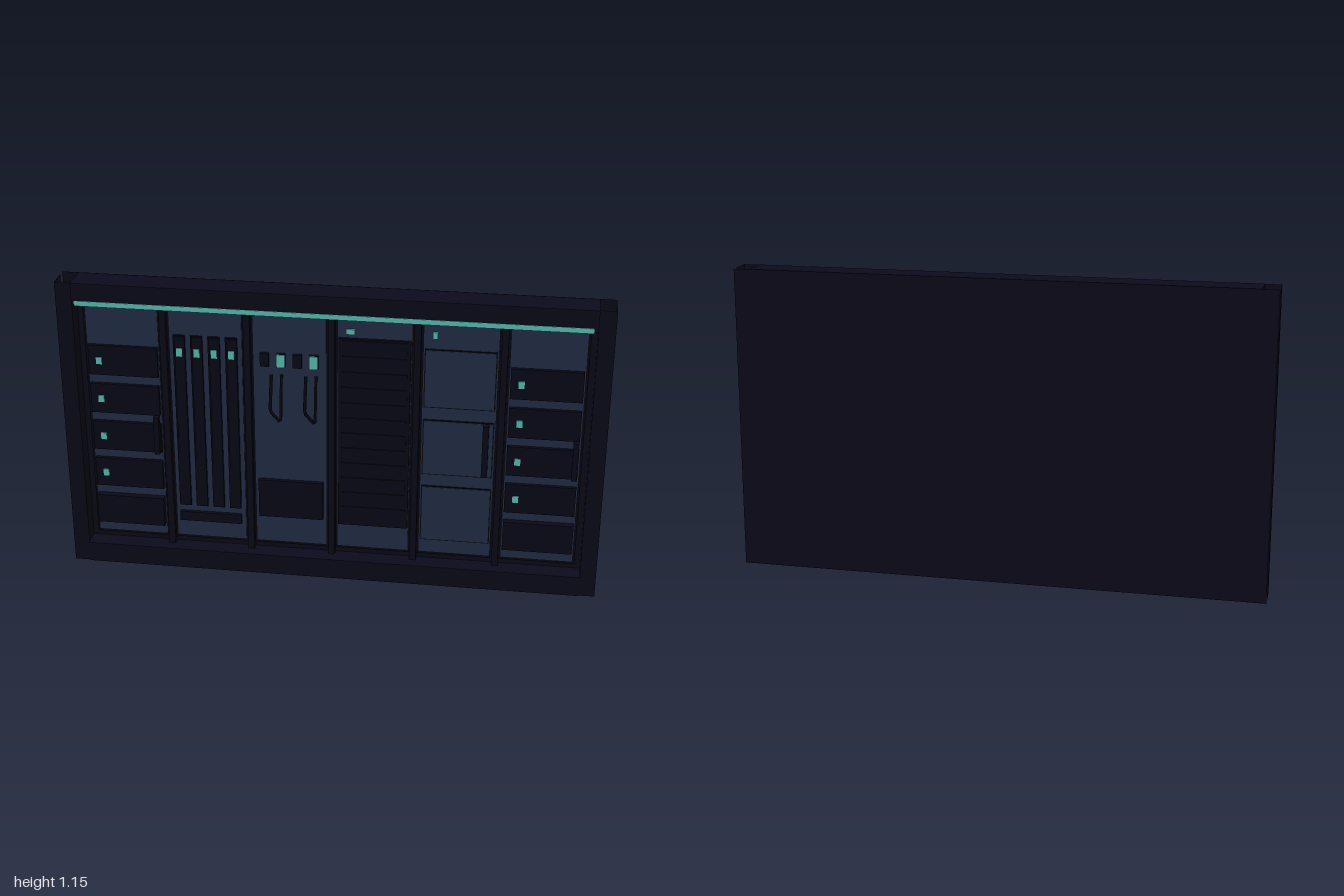
import * as THREE from 'three';

const mat = (name, color, extra = {}) => {
  const m = new THREE.MeshStandardMaterial({ color, ...extra });
  m.name = name;
  return m;
};

export function createModel() {
  const root = new THREE.Group();
  root.name = 'storageWall';
  const frame = mat('darkFrame', 0x0c0b1c, { side: THREE.DoubleSide });
  const dark = mat('darkFitting', 0x0a0919);
  const black = mat('blackTrim', 0x060610);
  const navy = mat('navyPanel', 0x25324b);
  const teal = mat('tealLight', 0x5fcfc3);

  // Box given by its x, y and z ranges
  const box = (parent, name, m, x0, x1, y0, y1, z0, z1) => {
    const mesh = new THREE.Mesh(new THREE.BoxGeometry(x1 - x0, y1 - y0, z1 - z0), m);
    mesh.position.set((x0 + x1) / 2, (y0 + y1) / 2, (z0 + z1) / 2);
    mesh.name = name;
    parent.add(mesh);
    return mesh;
  };
  const sheet = (name, w, h, x, y, z, turn = 0) => {
    const mesh = new THREE.Mesh(new THREE.PlaneGeometry(w, h), frame);
    mesh.position.set(x, y, z);
    mesh.rotation.y = turn;
    mesh.name = name;
    root.add(mesh);
  };
  const light = (parent, x, y, w, h, z) =>
    box(parent, 'statusLight', teal, x - w / 2, x + w / 2, y - h / 2, y + h / 2, z - 0.006, z);

  // Outer frame: back sheet, rails and open-ended side posts
  sheet('backPanel', 2, 1.15, 0, 0.575, -0.052);
  box(root, 'topRail', frame, -0.94, 0.94, 1.07, 1.15, -0.05, 0.06);
  box(root, 'bottomRail', frame, -0.94, 0.94, 0, 0.08, -0.05, 0.06);
  for (const s of [-1, 1]) {
    sheet('postOuter', 0.08, 1.15, s, 0.575, 0.015, Math.PI / 2);
    sheet('postInner', 0.08, 1.15, s * 0.94, 0.575, 0.015, Math.PI / 2);
    sheet('postFront', 0.06, 1.15, s * 0.97, 0.575, 0.055);
  }
  box(root, 'backing', frame, -0.94, 0.94, 0.08, 1.07, -0.025, -0.01);
  box(root, 'lightStrip', teal, -0.93, 0.925, 1.064, 1.083, 0.053, 0.062);

  // Six bays with black rims, and the dividers between them
  const bays = [];
  for (let i = 0; i < 6; i++) {
    const g = new THREE.Group();
    g.name = 'bay' + (i + 1);
    g.position.x = -0.775 + i * 0.31;
    root.add(g);
    bays.push(g);
    box(g, 'bayRim', black, -0.144, 0.144, 0.1, 1.058, -0.01, -0.004);
    box(g, 'bayPanel', navy, -0.134, 0.134, 0.112, 1.048, -0.008, 0);
    if (i < 5) box(g, 'divider', frame, 0.143, 0.167, 0.08, 1.07, -0.01, 0.016);
  }

  // Bays 1 and 6: stacked drawers with lights and a pull handle
  for (const g of [bays[0], bays[5]]) {
    for (let k = 0; k < 5; k++) {
      const top = 0.893 - k * 0.1545;
      box(g, 'drawer', dark, -0.13, 0.13, top - 0.118, top, 0, k === 4 ? 0.026 : 0.014);
      if (k < 4) light(g, -0.09, top - 0.06, 0.022, 0.027, 0.018);
    }
    box(g, 'drawerHandle', dark, 0.108, 0.128, 0.47, 0.622, 0.014, 0.036);
  }

  // Bay 2: four upright slots above a bar
  for (let k = 0; k < 4; k++) {
    const x = -0.098 + k * 0.0645;
    box(bays[1], 'slotShadow', black, x - 0.022, x + 0.022, 0.246, 0.948, 0, 0.008);
    box(bays[1], 'slotModule', dark, x - 0.016, x + 0.022, 0.25, 0.944, 0.004, 0.013);
    light(bays[1], x + 0.002, 0.884, 0.022, 0.032, 0.017);
  }
  box(bays[1], 'lowerBar', dark, -0.12, 0.118, 0.182, 0.22, 0, 0.014);

  // Bay 3: sockets, hanging cables and a lower tray
  const path = new THREE.CurvePath();
  const pts = [[-0.02, 0.82, 0.02], [-0.02, 0.69, 0.058], [0.018, 0.643, 0.054], [0.016, 0.82, 0.014]]
    .map((p) => new THREE.Vector3(...p));
  for (let k = 0; k < 3; k++) path.curves.push(new THREE.LineCurve3(pts[k], pts[k + 1]));
  const cable = new THREE.TubeGeometry(path, 24, 0.006, 6, false);
  for (let k = 0; k < 4; k++) {
    const x = -0.092 + k * 0.0605;
    box(bays[2], 'socket', dark, x - 0.016, x + 0.016, 0.846, 0.898, 0, 0.014);
    if (k % 2) light(bays[2], x, 0.872, 0.03, 0.05, 0.019);
  }
  for (const x of [-0.045, 0.082]) {
    const mesh = new THREE.Mesh(cable, black);
    mesh.name = 'cable';
    mesh.position.x = x;
    bays[2].add(mesh);
  }
  box(bays[2], 'tray', dark, -0.122, 0.122, 0.225, 0.38, 0, 0.016);

  // Bay 4: tall slatted vent
  box(bays[3], 'vent', dark, -0.13, 0.132, 0.21, 0.973, 0, 0.01);
  for (let k = 0; k < 12; k++) {
    const y = 0.25 + k * 0.0615;
    box(bays[3], 'ventSlat', dark, -0.118, 0.12, y, y + 0.04, 0.01, 0.014);
  }
  light(bays[3], -0.088, 0.997, 0.032, 0.02, 0.006);

  // Bay 5: three outlined doors with a handle
  for (const [y0, y1] of [[0.166, 0.396], [0.444, 0.668], [0.717, 0.947]]) {
    box(bays[4], 'doorSeam', black, -0.13, 0.13, y0, y1, 0, 0.004);
    box(bays[4], 'door', navy, -0.126, 0.126, y0 + 0.004, y1 - 0.004, 0.002, 0.006);
  }
  box(bays[4], 'doorHandle', dark, 0.09, 0.112, 0.458, 0.664, 0.006, 0.03);
  light(bays[4], -0.093, 1.0, 0.018, 0.026, 0.006);

  return root;
}
